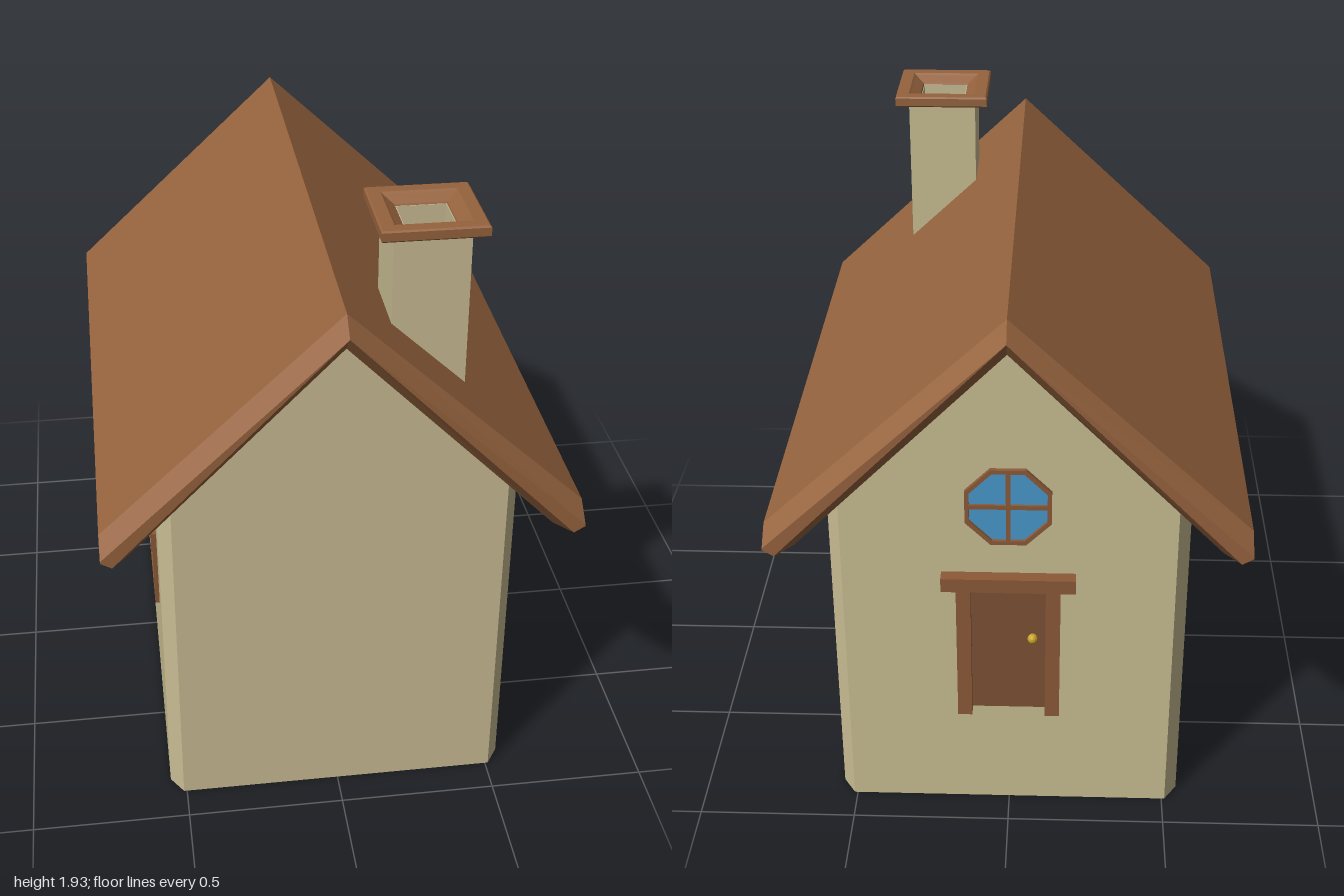
import * as THREE from 'three';
import { ConvexGeometry } from 'three/addons/geometries/ConvexGeometry.js';

const material = (color, side = THREE.FrontSide) =>
  new THREE.MeshStandardMaterial({ color, flatShading: true, side });
const plaster = material(0xc9bd93);
const roofWood = material(0x96633e);
const trim = material(0x8c5a37);
const doorWood = material(0x7d5133);
const glass = material(0x4898cb);
const brass = material(0xc9a227);

function add(parent, name, geometry, mat, x = 0, y = 0, z = 0) {
  const mesh = new THREE.Mesh(geometry, mat);
  mesh.name = name;
  mesh.position.set(x, y, z);
  parent.add(mesh);
  return mesh;
}

const box = (w, h, d) => new THREE.BoxGeometry(w, h, d);

// Gabled walls with chamfered vertical corners
function wallGeometry() {
  const points = [];
  for (const sz of [-1, 1]) {
    for (const sx of [-1, 1]) {
      for (const y of [0, 1.145]) points.push(new THREE.Vector3(sx * 0.51, y, sz * 0.89));
      for (const y of [0, 1.1]) points.push(new THREE.Vector3(sx * 0.55, y, sz * 0.83));
    }
    points.push(new THREE.Vector3(0, 1.66, sz * 0.89));
  }
  return new ConvexGeometry(points);
}

// Roof shell: half profile from ridge to eave to soffit, tapered at both verges
function roofGeometry() {
  const inner = [[0, 1.77], [0.724, 1.09], [0.724, 1.03], [0.69, 1.01], [0.64, 1.01], [0, 1.66]];
  const end = [[0, 1.72], [0.724, 1.036], [0.724, 1.03], [0.69, 1.01], [0.69, 1.01], [0, 1.72]];
  const sections = [[end, -1], [inner, -0.94], [inner, 0.94], [end, 1]];
  const out = [];
  for (const side of [1, -1]) {
    const point = (s, i) => {
      const [profile, z] = sections[s];
      return [side * profile[i][0], profile[i][1], z];
    };
    const tri = (a, b, c) => out.push(...(side > 0 ? [a, b, c] : [a, c, b]).flat());
    for (let s = 0; s < 3; s++) {
      for (let i = 0; i < 5; i++) {
        tri(point(s, i), point(s + 1, i), point(s + 1, i + 1));
        tri(point(s, i), point(s + 1, i + 1), point(s, i + 1));
      }
    }
    for (let i = 1; i < 3; i++) {
      tri(point(3, 0), point(3, i + 1), point(3, i));
      tri(point(0, 0), point(0, i), point(0, i + 1));
    }
  }
  const geometry = new THREE.BufferGeometry();
  geometry.setAttribute('position', new THREE.Float32BufferAttribute(out, 3));
  geometry.computeVertexNormals();
  return geometry;
}

// Square turned section: profile of [halfWidth, y]
function squareLathe(profile) {
  const points = profile.map(([h, y]) => new THREE.Vector2(h * Math.SQRT2, y));
  return new THREE.LatheGeometry(points, 4).rotateY(Math.PI / 4);
}

// Regular polygon with flat top, given its half height
function polygonPoints(sides, half) {
  const r = half / Math.cos(Math.PI / sides);
  return Array.from({ length: sides }, (_, i) => {
    const a = ((i + 0.5) * 2 * Math.PI) / sides;
    return new THREE.Vector2(r * Math.cos(a), r * Math.sin(a));
  });
}

// Framed window with crossed glazing bars, facing +z
function createWindow(name, sides, half) {
  const group = new THREE.Group();
  group.name = name;
  const shape = new THREE.Shape(polygonPoints(sides, half));
  shape.holes.push(new THREE.Path(polygonPoints(sides, half - 0.013)));
  add(group, 'windowFrame', new THREE.ExtrudeGeometry(shape, { depth: 0.015, bevelEnabled: false }), trim);
  add(group, 'windowPane', new THREE.ShapeGeometry(new THREE.Shape(polygonPoints(sides, half - 0.01))), glass, 0, 0, 0.004);
  const length = 2 * half - 0.02;
  add(group, 'verticalBar', box(0.014, length, 0.012), trim, 0, 0, 0.006);
  add(group, 'horizontalBar', box(length, 0.014, 0.012), trim, 0, 0, 0.006);
  return group;
}

function createDoor() {
  const door = new THREE.Group();
  door.name = 'door';
  add(door, 'doorLeaf', box(0.25, 0.46, 0.02), doorWood, 0, 0.615, 0.005);
  for (const side of [-1, 1]) {
    add(door, 'doorPost', box(0.045, 0.475, 0.04), trim, side * 0.137, 0.6075, 0.02);
  }
  add(door, 'lintel', box(0.41, 0.047, 0.043), trim, 0, 0.867, 0.0215);
  add(door, 'doorKnob', new THREE.SphereGeometry(0.016, 12, 8), brass, 0.075, 0.665, 0.03);
  return door;
}

export function createModel() {
  const house = new THREE.Group();
  house.name = 'house';
  add(house, 'walls', wallGeometry(), plaster);
  add(house, 'roof', roofGeometry(), roofWood);

  // Hollow chimney with a bevelled cap
  const chimney = new THREE.Group();
  chimney.name = 'chimney';
  chimney.position.set(0.28, 0, 0.615);
  house.add(chimney);
  add(chimney, 'chimneyStack', squareLathe([
    [0, 1.3], [0.115, 1.3], [0.115, 1.9], [0.075, 1.9], [0.075, 1.65], [0, 1.65],
  ]), plaster);
  add(chimney, 'chimneyCap', squareLathe([
    [0.075, 1.895], [0.153, 1.895], [0.158, 1.9], [0.158, 1.926], [0.153, 1.931],
    [0.115, 1.931], [0.108, 1.925], [0.08, 1.905], [0.075, 1.895],
  ]), roofWood);

  // Two square windows on each long wall
  for (const side of [-1, 1]) {
    for (const z of [0.515, -0.445]) {
      const pane = createWindow('sideWindow', 4, 0.135);
      pane.rotation.y = (side * Math.PI) / 2;
      pane.position.set(side * 0.549, 0.735, z);
      house.add(pane);
    }
  }

  // Door and octagonal window on the back gable
  const entrance = new THREE.Group();
  entrance.name = 'entrance';
  entrance.rotation.y = Math.PI;
  entrance.position.z = -0.889;
  const gableWindow = createWindow('gableWindow', 8, 0.13);
  gableWindow.position.y = 1.13;
  entrance.add(createDoor(), gableWindow);
  house.add(entrance);
  return house;
}
